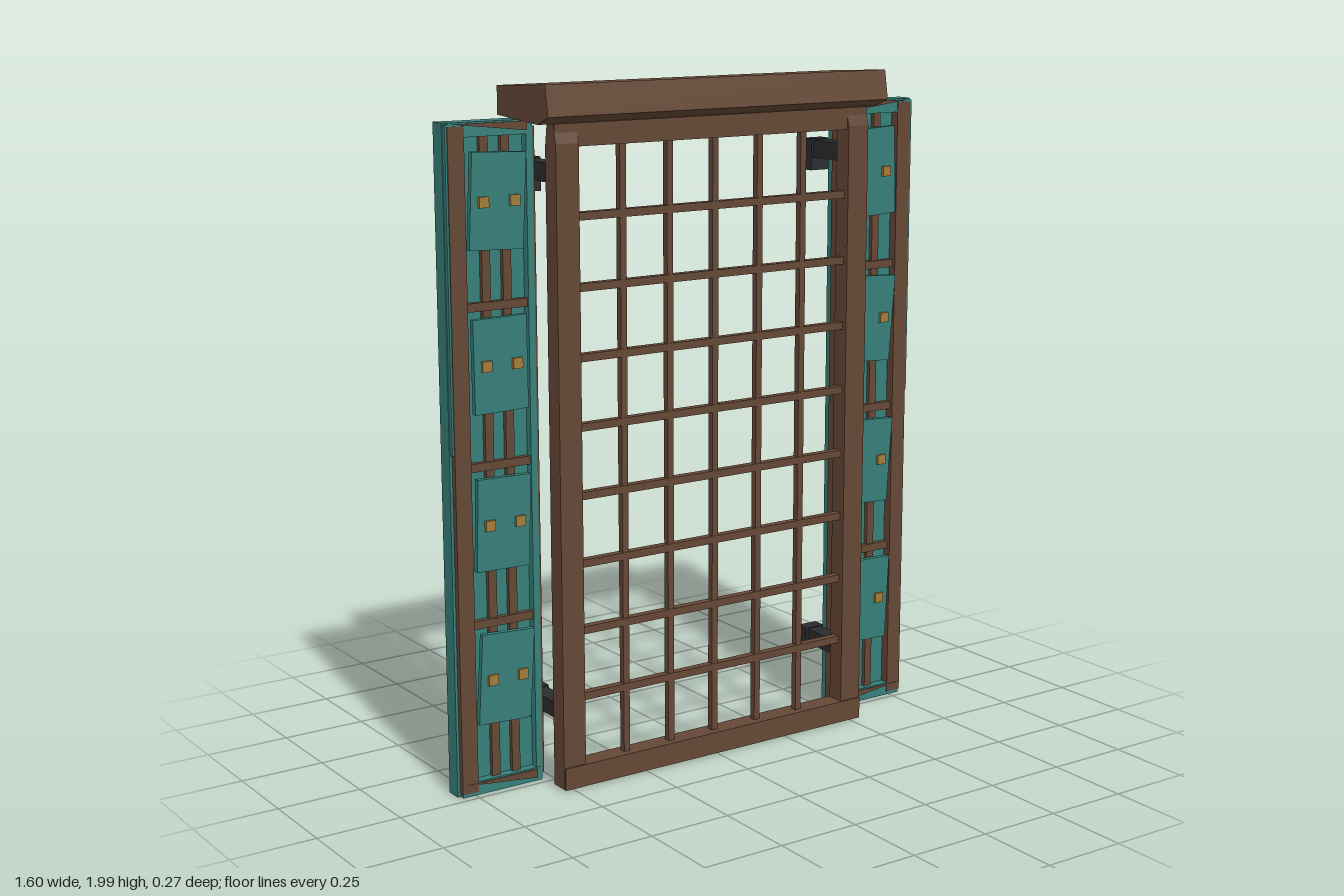
import * as THREE from 'three';

const material = (name, color) => {
  const m = new THREE.MeshStandardMaterial({ color });
  m.name = name;
  return m;
};

export function createModel() {
  const brown = material('brown wood', 0x654836);
  const teal = material('teal paint', 0x37807a);
  const gold = material('gold stud', 0xa27c38);
  const iron = material('dark iron', 0x2c2d30);
  const model = new THREE.Group();
  model.name = 'shutteredWindow';

  const add = (parent, name, geometry, mat) => {
    const mesh = new THREE.Mesh(geometry, mat);
    mesh.name = name;
    parent.add(mesh);
    return mesh;
  };
  // Box given by its limits on each axis
  const box = (parent, name, mat, [x0, x1], [y0, y1], [z0, z1]) => {
    const mesh = add(parent, name, new THREE.BoxGeometry(Math.abs(x1 - x0), y1 - y0, z1 - z0), mat);
    mesh.position.set((x0 + x1) / 2, (y0 + y1) / 2, (z0 + z1) / 2);
    return mesh;
  };
  // Prism from an outline in the xy plane, between two depths
  const prism = (parent, name, mat, points, z0, z1) => {
    const shape = new THREE.Shape(points.map(([x, y]) => new THREE.Vector2(x, y)));
    const geometry = new THREE.ExtrudeGeometry(shape, { depth: z1 - z0, bevelEnabled: false });
    return add(parent, name, geometry.translate(0, 0, z0), mat);
  };

  // Lintel: a (z, y) profile run along x
  const profile = [[0.12, 2], [-0.135, 1.985], [-0.135, 1.905], [0.08, 1.892], [0.135, 1.915]];
  const lintel = prism(model, 'lintel', brown, profile, -0.575, 0.575);
  lintel.geometry.rotateY(-Math.PI / 2);

  // Window frame
  const frame = new THREE.Group();
  frame.name = 'windowFrame';
  model.add(frame);
  for (const s of [-1, 1]) {
    const stile = prism(frame, 'frameStile', brown,
      [[0.1, 0.02], [0.1, 1.84], [0.085, 1.895], [0.055, 1.895], [0.045, 1.83], [0.045, 0.02]], -0.036, 0.036);
    stile.geometry.rotateY(-Math.PI / 2);
    stile.position.x = s * 0.496;
  }
  box(frame, 'bottomRail', brown, [-0.53, 0.53], [0.015, 0.08], [0.042, 0.105]);
  box(frame, 'topRail', brown, [-0.53, 0.53], [1.83, 1.893], [0.05, 0.092]);

  // Lattice
  for (let i = -2; i <= 2; i++) {
    const x = i * 0.1545;
    box(frame, 'verticalBar', brown, [x - 0.01, x + 0.01], [0.06, 1.85], [0.062, 0.082]);
  }
  for (let i = 0; i < 8; i++) {
    const y = 0.275 + i * 0.195;
    box(frame, 'horizontalBar', brown, [-0.47, 0.47], [y - 0.011, y + 0.011], [0.06, 0.084]);
  }

  // Shutters, with slightly crooked tiles
  const tilts = { '-1': [-0.05, -0.02, 0.02, -0.04], '1': [-0.03, -0.05, -0.06, 0.05] };
  for (const s of [-1, 1]) {
    const shutter = new THREE.Group();
    shutter.name = s > 0 ? 'leftShutter' : 'rightShutter';
    model.add(shutter);
    const part = (name, mat, [x0, x1], y, z) => box(shutter, name, mat, [s * x0, s * x1], y, z);

    // Boards and surround
    part('frontBoard', teal, [0.54, 0.78], [0.03, 1.88], [-0.062, -0.048]);
    part('backBoard', s > 0 ? teal : brown, [0.54, 0.78], [0.03, 1.88], [-0.078, -0.06]);
    part('outerStile', teal, [0.77, 0.8], [0.01, 1.9], [-0.085, -0.037]);
    part('outerStileFace', brown, [0.742, 0.792], [0.02, 1.89], [-0.05, -0.02]);
    part('outerStileEdge', teal, [0.785, 0.798], [1.0, 1.895], [-0.04, -0.023]);
    part('innerStile', teal, [0.53, 0.55], [0.01, 1.9], [-0.085, -0.025]);
    part('innerStileEdge', brown, [0.524, 0.532], [0.03, 1.88], [-0.06, -0.026]);
    for (const [y0, y1] of [[0.01, 0.05], [1.86, 1.9]]) {
      part('endRail', teal, [0.535, 0.79], [y0, y1], [-0.083, -0.022]);
      prism(shutter, 'endRailWedge', brown,
        [[s * 0.55, y1 - 0.004], [s * 0.78, y1 - 0.004], [s * 0.55, y1 - 0.03]], -0.023, -0.018);
    }

    // Bare or painted streaks on the back
    if (s > 0) {
      part('backStrip', brown, [0.742, 0.77], [0.04, 1.87], [-0.083, -0.076]);
      part('backFootStrip', brown, [0.54, 0.77], [0.05, 0.08], [-0.082, -0.076]);
      prism(shutter, 'backWedge', brown, [[0.55, 0.2], [0.55, 1.86], [0.64, 1.86], [0.57, 1.5]], -0.081, -0.075);
    } else {
      prism(shutter, 'backWedge', teal, [[-0.55, 0.05], [-0.55, 1.6], [-0.63, 0.05]], -0.081, -0.075);
    }

    // Battens
    for (const x of [0.61, 0.675]) {
      part('verticalBatten', brown, [x - 0.013, x + 0.013], [0.05, 1.86], [-0.05, -0.035]);
    }
    for (const y of [0.505, 0.955, 1.4]) {
      part('horizontalBatten', brown, [0.548, 0.745], [y - 0.012, y + 0.012], [-0.05, -0.031]);
    }

    // Tiles and studs
    tilts[s].forEach((tilt, i) => {
      const y = 0.345 + i * 0.447;
      const tile = part('tile', teal, [0.563, 0.73], [y - 0.132, y + 0.132], [-0.03, -0.014]);
      tile.rotation.set(0.02, 0, tilt);
      for (const x of [0.597, 0.693]) {
        part('stud', gold, [x - 0.015, x + 0.015], [y - 0.015, y + 0.015], [-0.02, -0.005]);
      }
    });

    // Hinges
    for (const [y0, y1] of [[0.205, 0.26], [1.725, 1.785]]) {
      part('hingeArm', iron, [0.475, 0.525], [y0 + 0.008, y1], [-0.12, 0.05]);
      part('hingeHead', iron, [0.468, 0.535], [y0 - (y0 > 1 ? 0.03 : 0), y1 + 0.004], [-0.13, -0.088]);
    }
  }
  return model;
}
